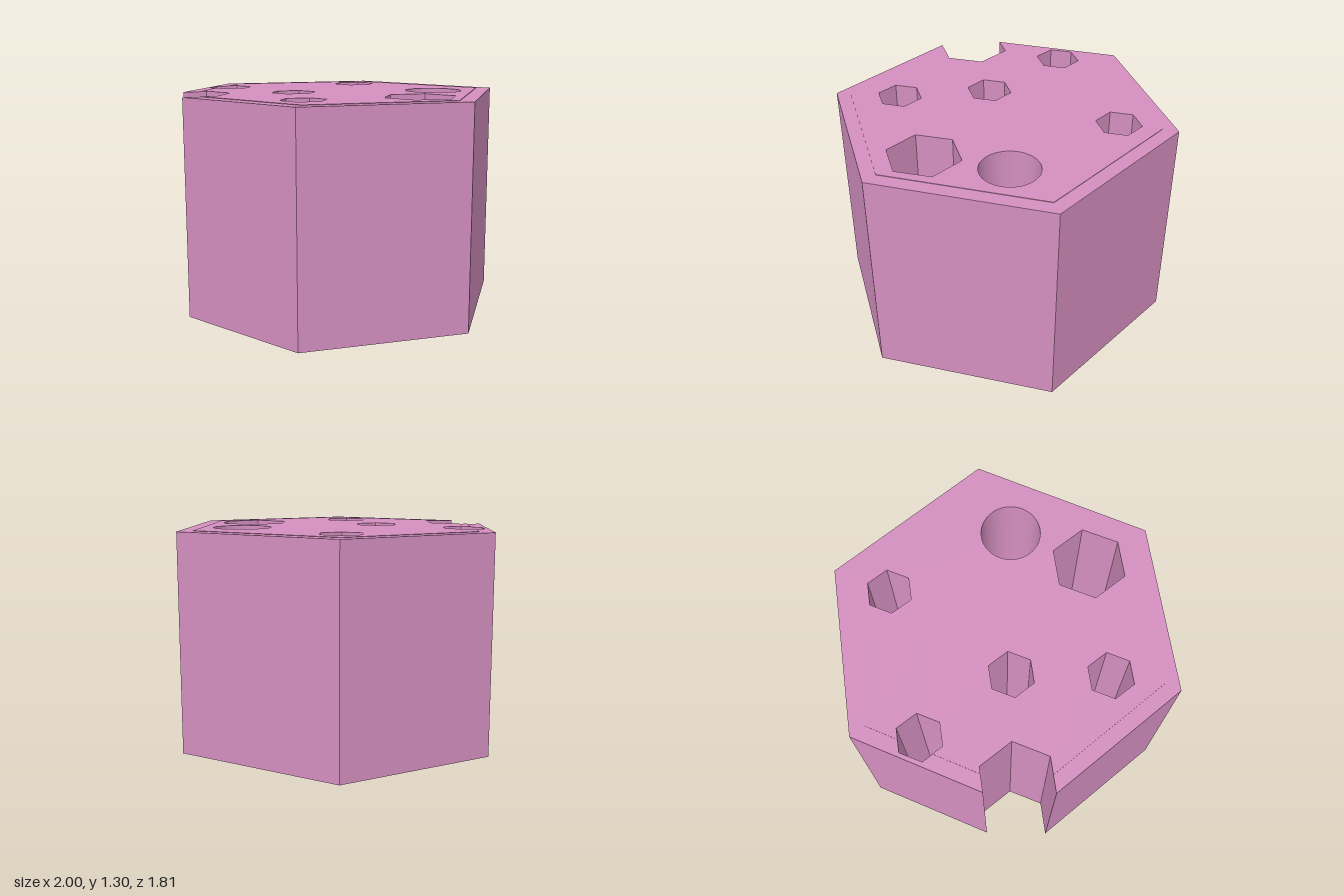
import * as THREE from 'three';

const material = new THREE.MeshStandardMaterial({ color: 0xd48fc0, flatShading: true });

// Regular polygon hole; points are (x, z)
function hole(cx, cz, r, sides = 6) {
  const pts = [];
  for (let i = 0; i < sides; i++) {
    const a = (i / sides) * Math.PI * 2;
    pts.push(new THREE.Vector2(cx + r * Math.cos(a), cz + r * Math.sin(a)));
  }
  return new THREE.Path(pts);
}

// Vertical prism from an (x, z) outline, between two heights
function prism(name, outline, holes, bottom, top) {
  const shape = new THREE.Shape(outline.map(([x, z]) => new THREE.Vector2(x, z)));
  shape.holes.push(...holes);
  const geometry = new THREE.ExtrudeGeometry(shape, { depth: top - bottom, bevelEnabled: false });
  geometry.rotateX(Math.PI / 2);
  geometry.translate(0, top, 0);
  const mesh = new THREE.Mesh(geometry, material);
  mesh.name = name;
  return mesh;
}

export function createModel() {
  const group = new THREE.Group();
  group.name = 'hexagonalHolder';

  const sharedHoles = () => [
    hole(0.275, -0.608, 0.135),
    hole(-0.315, 0.003, 0.135),
    hole(-0.4, 0.542, 0.135),
    hole(0.287, 0.542, 0.218),
    hole(0.545, 0.127, 0.172, 48),
  ];
  const notch = [[-0.8, 0.14], [-0.69, -0.05], [-0.8, -0.24]];

  // Hexagonal block with a half-hexagon notch on one corner
  const body = [[1, 0], [0.45, 0.905], [-0.54, 0.905], [-1, 0.14], ...notch,
    [-0.94, -0.24], [-0.54, -0.905], [0.45, -0.905]];
  group.add(prism('body', body, [...sharedHoles(), hole(-0.597, -0.535, 0.135)], 0, 1.3));

  // Very thin raised top, inset from the rim and cut by the hole at its edge
  const edgeCut = [[-0.697, -0.477], [-0.664, -0.418], [-0.53, -0.418],
    [-0.462, -0.535], [-0.53, -0.652], [-0.592, -0.652]];
  const inset = [[0.9, 0], [0.4, 0.825], [-0.488, 0.825], [-0.9, 0.14], ...notch,
    [-0.841, -0.24], ...edgeCut, [-0.488, -0.825], [0.4, -0.825]];
  group.add(prism('topPlate', inset, sharedHoles(), 1.3, 1.303));

  return group;
}
